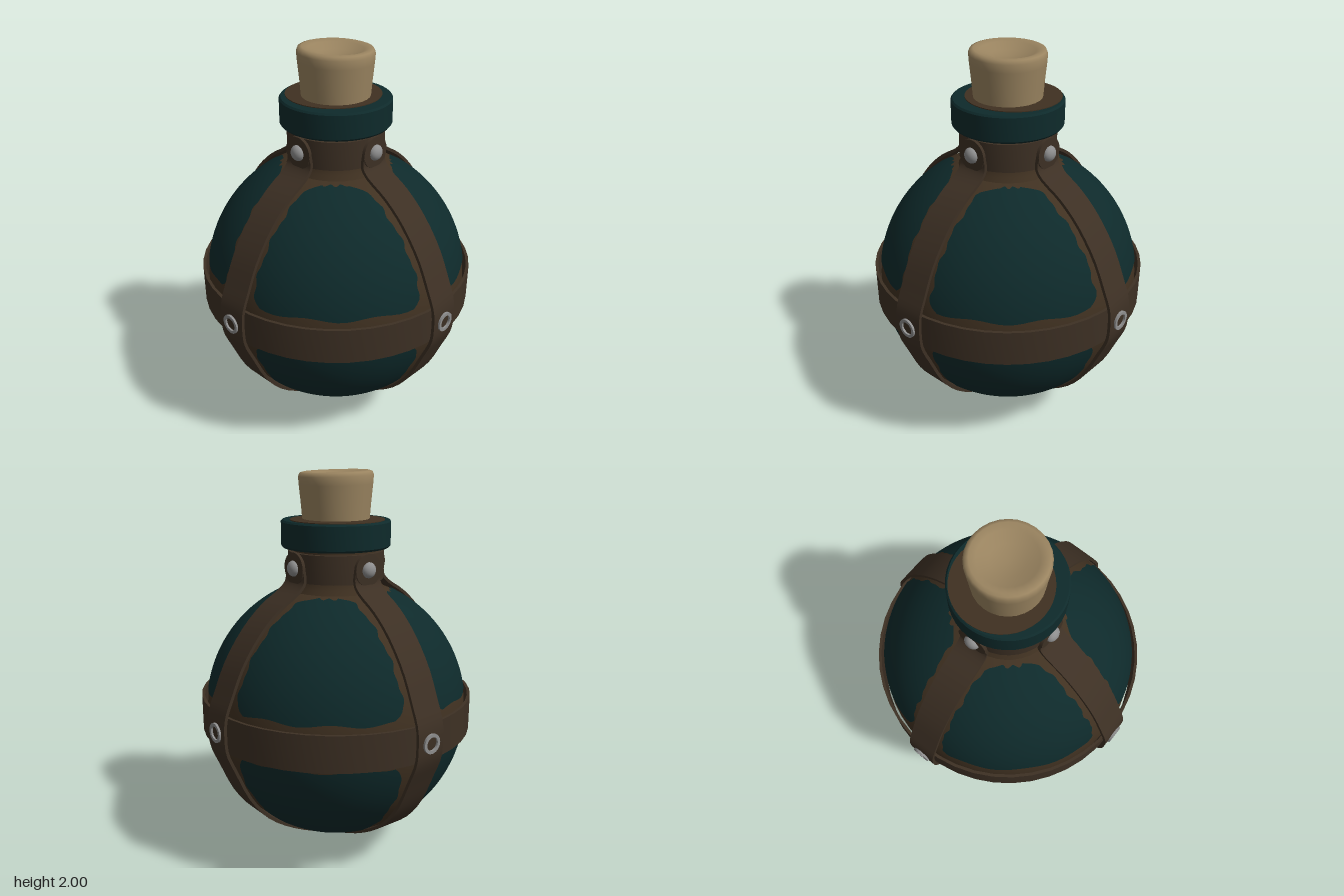
import * as THREE from 'three';
import { toCreasedNormals } from 'three/addons/utils/BufferGeometryUtils.js';

const CENTER = 0.767, RADIUS = 0.688;

const mat = (name, color) => {
  const m = new THREE.MeshStandardMaterial({ color });
  m.name = name;
  return m;
};

const lathe = (pts, segments = 40, crease = 0.6) => toCreasedNormals(
  new THREE.LatheGeometry(pts.map(([r, y]) => new THREE.Vector2(r, y)), segments), crease);

// Closed band with a rectangular section
const band = (r0, r1, y0, y1, segments) =>
  lathe([[r0, y0], [r1, y0], [r1, y1], [r0, y1], [r0, y0]], segments);

// One painted panel between two straps, with a worn, rounded outline
function panelGeometry(k, theta0, theta1) {
  const g = new THREE.SphereGeometry(RADIUS, 20, 36, 0, 1, 0.1, 1);
  const { position: p, normal: n, uv } = g.attributes;
  const d = new THREE.Vector3();
  for (let i = 0; i < p.count; i++) {
    const u = uv.getX(i), v = 1 - uv.getY(i);
    const wave = 0.006 * Math.sin(23 * v + 2 * k) + 0.004 * Math.sin(47 * v + k);
    const corner = 0.05 * Math.max(0, (Math.abs(2 * v - 1) - 0.84) / 0.16) ** 2;
    const theta = theta0 + v * (theta1 - theta0) + 0.012 * Math.sin(u * 15 + k);
    const margin = w => Math.min(Math.PI / 4,
      Math.asin(Math.min(1, (w + wave + corner) / (RADIUS * Math.sin(theta)))));
    const a = margin(0.092), b = Math.PI / 2 - margin(0.108);
    const phi = a + u * (b - a);
    d.set(-Math.cos(phi) * Math.sin(theta), Math.cos(theta), Math.sin(phi) * Math.sin(theta));
    n.setXYZ(i, d.x, d.y, d.z);
    d.multiplyScalar(RADIUS + 0.004);
    p.setXYZ(i, d.x, d.y + CENTER, d.z);
  }
  return g;
}

// Strap running from the neck down to the base, outlined in the radius/height plane
function strapGeometry() {
  const path = new THREE.CatmullRomCurve3([
    [0.265, 1.53], [0.259, 1.47], [0.29, 1.43], [0.4, 1.36], [0.51, 1.26], [0.62, 1.11],
    [0.69, 0.96], [0.729, 0.86], [0.736, 0.77], [0.729, 0.68], [0.68, 0.56], [0.6, 0.39],
    [0.49, 0.255], [0.335, 0.15], [0.15, 0.07], [0, 0.04],
  ].map(([x, y]) => new THREE.Vector3(x, y, 0)));
  const outer = [], inner = [];
  for (let i = 0; i <= 44; i++) {
    const p = path.getPoint(i / 44), t = path.getTangent(i / 44);
    outer.push(new THREE.Vector2(p.x, p.y));
    inner.unshift(new THREE.Vector2(p.x + t.y * 0.016, p.y - t.x * 0.016));
  }
  const g = new THREE.ExtrudeGeometry(new THREE.Shape([...outer, ...inner]),
    { depth: 0.16, bevelEnabled: false });
  return toCreasedNormals(g.translate(0, 0, -0.08), 0.5);
}

export function createModel() {
  const model = new THREE.Group();
  model.name = 'strappedFlask';
  const teal = mat('dark teal paint', 0x0e2a2b);
  const worn = mat('worn brown', 0x403121);
  const leather = mat('brown leather', 0x3d3024);
  const cork = mat('cork', 0x9a8460);
  const metal = mat('grey metal', 0x8e8e8e);

  const add = (parent, name, geometry, material) => {
    const mesh = new THREE.Mesh(geometry, material);
    mesh.name = name;
    parent.add(mesh);
    return mesh;
  };

  // Body, neck and lip
  add(model, 'body', new THREE.SphereGeometry(RADIUS, 56, 36).translate(0, CENTER, 0), worn);
  add(model, 'neck', lathe([[0.27, 1.38], [0.235, 1.43], [0.222, 1.48], [0.222, 1.64]]), worn);
  add(model, 'lip', lathe([[0.2, 1.62], [0.272, 1.62], [0.28, 1.63], [0.28, 1.748],
    [0.272, 1.757], [0, 1.757]]), teal);
  add(model, 'lipWornTop', new THREE.CylinderGeometry(0.24, 0.24, 0.004, 40)
    .translate(0.012, 1.759, -0.028), worn);

  // Painted panels, four above the belt and four below
  for (let k = 0; k < 4; k++) {
    add(model, 'upperPanel', panelGeometry(k, 0.42, 1.39), teal).rotation.y = k * Math.PI / 2;
    add(model, 'lowerPanel', panelGeometry(k + 4, 1.72, 2.86), teal).rotation.y = k * Math.PI / 2;
  }

  // Cork with a dished, slightly tilted top
  const corkGeo = lathe([[0.17, 1.74], [0.178, 1.84], [0.187, 1.93], [0.19, 1.972], [0.182, 1.99],
    [0.165, 1.995], [0.135, 1.985], [0.08, 1.962], [0, 1.955]], 28, 1);
  const cp = corkGeo.attributes.position;
  for (let i = 0; i < cp.count; i++) {
    const lift = (cp.getY(i) - 1.74) / 0.25;
    cp.setY(i, cp.getY(i) - lift * 0.025 * (cp.getX(i) + cp.getZ(i) * 0.5));
  }
  add(model, 'cork', corkGeo, cork);

  // Horizontal leather bands
  add(model, 'belt', band(0.7, 0.715, 0.677, 0.863, 44), leather);
  add(model, 'collar', band(0.215, 0.246, 1.46, 1.603, 36), leather);

  // Four vertical straps with their rivets
  const strap = strapGeometry();
  const tab = new THREE.CylinderGeometry(0.08, 0.08, 0.016, 24)
    .rotateZ(-Math.PI / 2).translate(0.257, 1.53, 0);
  const dome = new THREE.SphereGeometry(0.04, 18, 8, 0, Math.PI * 2, 0, Math.PI / 2)
    .scale(1, 0.75, 1);
  const neckRivet = dome.clone().rotateZ(-Math.PI / 2).translate(0.264, 1.53, 0);
  const eyelet = band(0.034, 0.05, -0.008, 0.012, 24)
    .rotateZ(-Math.PI / 2).translate(0.734, 0.773, 0);
  for (let k = 0; k < 4; k++) {
    const side = new THREE.Group();
    side.name = 'verticalStrap';
    side.rotation.y = k * Math.PI / 2;
    add(side, 'strap', strap, leather);
    add(side, 'strapTab', tab, leather);
    add(side, 'neckRivet', neckRivet, metal);
    add(side, 'eyelet', eyelet, metal);
    model.add(side);
  }

  // Rivet where the straps cross under the body
  add(model, 'baseRivet', dome.clone().rotateX(Math.PI).translate(0, 0.03, 0), metal);
  return model;
}
